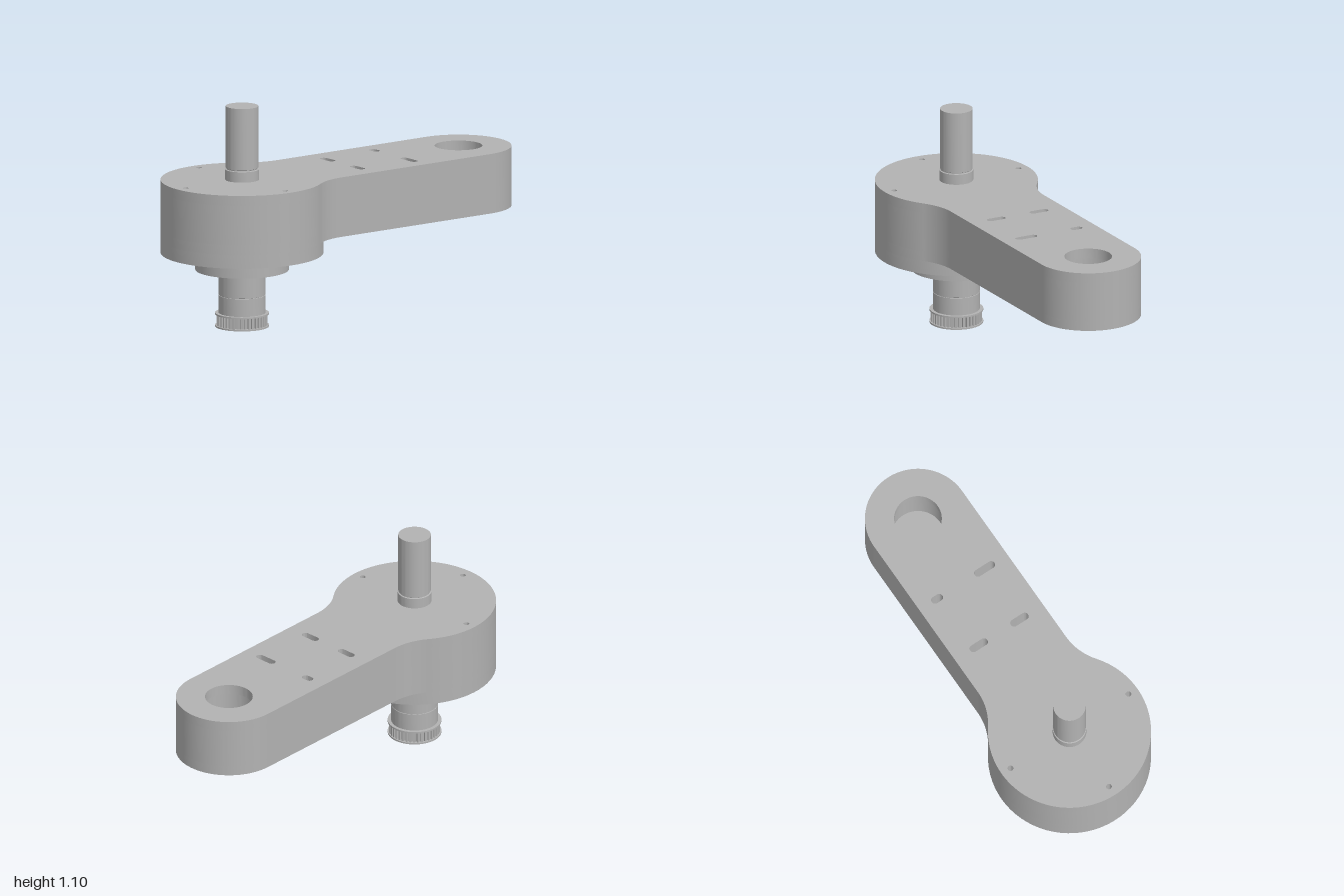
import * as THREE from 'three';
import { toCreasedNormals } from 'three/addons/utils/BufferGeometryUtils.js';

const HUB_X = -0.6, TIP_X = 0.735;

export function createModel() {
  const group = new THREE.Group();
  const metal = new THREE.MeshStandardMaterial({ color: 0xb2b2b2 });
  metal.name = 'machinedGrey';

  function add(name, geometry, x = 0, y = 0) {
    const mesh = new THREE.Mesh(toCreasedNormals(geometry, 0.5), metal);
    mesh.name = name;
    mesh.position.set(x, y, 0);
    group.add(mesh);
  }

  // Flat outline in x/z turned into a horizontal slab
  function slab(name, shape, y, depth, x = 0) {
    const g = new THREE.ExtrudeGeometry(shape, { depth, bevelEnabled: false, curveSegments: 40 });
    add(name, g.rotateX(-Math.PI / 2), x, y);
  }

  function turned(name, points) {
    const profile = points.map(([r, y]) => new THREE.Vector2(r, y));
    add(name, new THREE.LatheGeometry(profile, 72), HUB_X);
  }

  function hole(x, z, r) {
    return new THREE.Path().absarc(x, -z, r, 0, Math.PI * 2, true);
  }

  // Slot running along z
  function slot(x, z, halfLength, r) {
    const h = halfLength - r;
    const p = new THREE.Path();
    p.absarc(x, -z + h, r, 0, Math.PI, false);
    p.absarc(x, -z - h, r, Math.PI, Math.PI * 2, false);
    p.closePath();
    return p;
  }

  // Round hub blended by fillets into a straight arm with a round tip
  function armShape(holes) {
    const a = Math.atan2(0.56, 0.42), s = new THREE.Shape();
    s.absarc(HUB_X, 0, 0.4, a, Math.PI * 2 - a, false);
    s.absarc(-0.18, -0.56, 0.3, Math.PI - a, Math.PI / 2, true);
    s.absarc(TIP_X, 0, 0.26, -Math.PI / 2, Math.PI / 2, false);
    s.absarc(-0.18, 0.56, 0.3, -Math.PI / 2, -Math.PI + a, true);
    s.holes.push(...holes);
    return s;
  }

  // Housing: floor with screw holes, body, and lid with slots and bore
  const slots = () => [
    slot(0.02, -0.12, 0.05, 0.019), slot(0.02, 0.12, 0.05, 0.019),
    slot(0.335, -0.155, 0.031, 0.019), slot(0.335, 0.125, 0.058, 0.019),
  ];
  const lidScrews = () => [[-0.6, -0.348], [-0.6, 0.348], [-0.948, 0]].map(([x, z]) => hole(x, z, 0.014));
  const floorScrews = [[0.95, 0], [0.735, -0.215], [0.735, 0.215], [0.125, -0.215], [0.125, 0.215]]
    .map(([x, z]) => hole(x, z, 0.012));
  slab('armFloor', armShape(floorScrews), 0.437, 0.05);
  slab('armBody', armShape([...slots(), ...lidScrews(), hole(TIP_X, 0, 0.13)]), 0.487, 0.198);
  slab('armLid', armShape([...slots(), ...lidScrews(), hole(TIP_X, 0, 0.117)]), 0.685, 0.05);

  // Stepped bearing seat beneath the hub
  turned('bearingSeat', [
    [0.1, 0.4], [0.17, 0.4], [0.17, 0.33], [0.2, 0.33], [0.2, 0.285],
    [0.23, 0.285], [0.23, 0.37], [0.4, 0.37], [0.4, 0.44],
  ]);

  // Lower sleeve with a fine joint line
  turned('lowerSleeve', [
    [0, 0.068], [0.115, 0.068], [0.115, 0.157], [0.113, 0.158],
    [0.113, 0.16], [0.115, 0.161], [0.115, 0.42],
  ]);

  // Upper shaft with collar and groove
  turned('upperShaft', [
    [0.083, 0.73], [0.083, 0.787], [0.077, 0.789], [0.077, 0.793],
    [0.08, 0.795], [0.08, 1.103], [0, 1.103],
  ]);

  // Toothed pulley between two flanges
  const pulleyHoles = () => {
    const list = [hole(0, 0, 0.045)];
    for (let i = 0; i < 4; i++) {
      const a = (i + 0.5) * Math.PI / 2;
      list.push(hole(0.09 * Math.cos(a), 0.09 * Math.sin(a), 0.01));
    }
    return list;
  };
  const flange = () => {
    const s = new THREE.Shape().absarc(0, 0, 0.132, 0, Math.PI * 2, false);
    s.holes.push(...pulleyHoles());
    return s;
  };
  const teeth = new THREE.Shape(), count = 40;
  for (let i = 0; i < count; i++) {
    [[0, 0.117], [0.35, 0.117], [0.45, 0.126], [0.9, 0.126]].forEach(([t, r], k) => {
      const a = (i + t) / count * Math.PI * 2;
      const x = r * Math.cos(a), y = r * Math.sin(a);
      if (i + k === 0) teeth.moveTo(x, y); else teeth.lineTo(x, y);
    });
  }
  teeth.closePath();
  teeth.holes.push(...pulleyHoles());
  slab('pulleyLowerFlange', flange(), 0, 0.008, HUB_X);
  slab('pulleyTeeth', teeth, 0.008, 0.053, HUB_X);
  slab('pulleyUpperFlange', flange(), 0.061, 0.008, HUB_X);

  return group;
}
